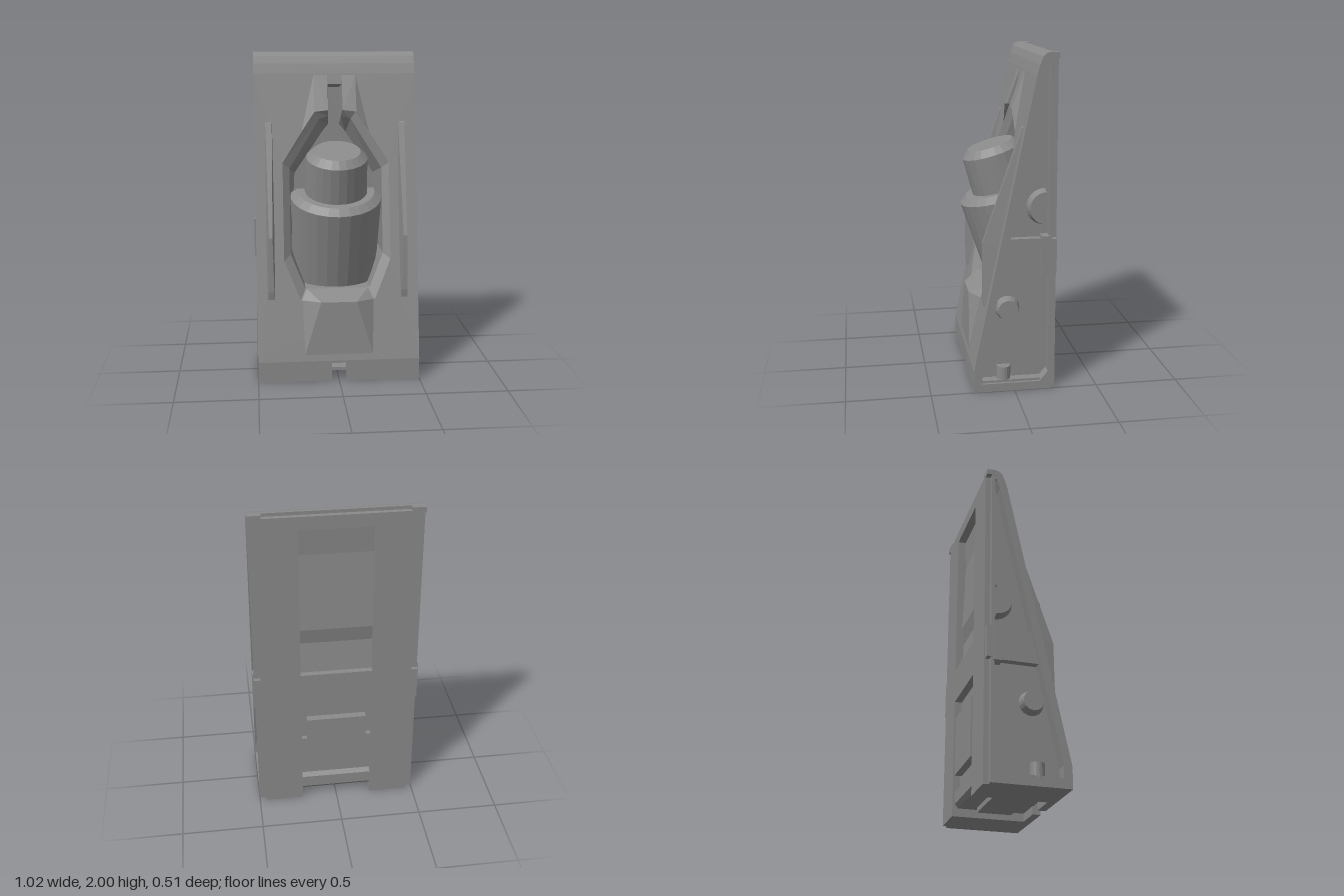
import * as THREE from 'three';
import { ConvexGeometry } from 'three/addons/geometries/ConvexGeometry.js';

const material = new THREE.MeshStandardMaterial({
  color: 0x8a8a8a, flatShading: true, side: THREE.DoubleSide,
});

// depth of the sloping front face at height y
const faceZ = (y) => 0.245 - 0.21 * (y - 0.13);

function add(parent, name, geometry) {
  const mesh = new THREE.Mesh(geometry, material);
  mesh.name = name;
  parent.add(mesh);
  return mesh;
}

// box given by its limits on each axis
function box(x0, x1, y0, y1, z0, z1) {
  return new THREE.BoxGeometry(x1 - x0, y1 - y0, z1 - z0)
    .translate((x0 + x1) / 2, (y0 + y1) / 2, (z0 + z1) / 2);
}

const toShape = (pts) => new THREE.Shape(pts.map(([x, y]) => new THREE.Vector2(x, y)));
const rect = (x0, x1, y0, y1) => [[x0, y0], [x1, y0], [x1, y1], [x0, y1]];

// front-facing plate from z0 to z1, with holes
function plate(pts, z0, z1, holes = []) {
  const shape = toShape(pts);
  shape.holes = holes.map(toShape);
  return new THREE.ExtrudeGeometry(shape, { depth: z1 - z0, bevelEnabled: false }).translate(0, 0, z0);
}

// side profile of [z, y] points, running from x0 to x1
function profile(pts, x0, x1) {
  return new THREE.ExtrudeGeometry(toShape(pts), { depth: x1 - x0, bevelEnabled: false })
    .rotateY(-Math.PI / 2).translate(x1, 0, 0);
}

// strip of faces joining closed rings of equal length
function loft(rings) {
  const n = rings[0].length, index = [];
  for (let r = 0; r < rings.length - 1; r++) {
    for (let i = 0; i < n; i++) {
      const a = r * n + i, b = r * n + (i + 1) % n;
      index.push(a, b, a + n, b, b + n, a + n);
    }
  }
  const g = new THREE.BufferGeometry();
  g.setAttribute('position', new THREE.Float32BufferAttribute(rings.flat(2), 3));
  g.setIndex(index);
  g.computeVertexNormals();
  return g;
}

const mirrored = (half) => [...half, ...half.map(([x, y]) => [-x, y]).reverse()];
const hull = (pts) => new ConvexGeometry(pts.map((p) => new THREE.Vector3(...p)));
const turned = (pts, start, length, segments) =>
  new THREE.LatheGeometry(pts.map(([r, y]) => new THREE.Vector2(r, y)), segments, start, length);

export function createModel() {
  const model = new THREE.Group();
  model.name = 'wedgeHousing';

  // outlines of the front opening, with its slot on top: rim, lip and floor
  const outer = mirrored([[0.23, 0.5], [0.33, 0.74], [0.33, 1.33], [0.13, 1.64], [0.045, 1.65], [0.045, 1.805]]);
  const inner = mirrored([[0.2, 0.56], [0.287, 0.77], [0.287, 1.29], [0.1, 1.59], [0.04, 1.61], [0.04, 1.795]]);
  const floor = mirrored([[0.2, 0.57], [0.28, 0.78], [0.25, 1.24], [0.075, 1.5], [0.035, 1.55], [0.035, 1.78]]);

  // sloping front panel, sheared from a flat plate
  const panel = plate(rect(-0.5, 0.5, 0.13, 1.87), -0.05, 0, [outer]);
  const pos = panel.attributes.position;
  for (let i = 0; i < pos.count; i++) pos.setZ(i, pos.getZ(i) + faceZ(pos.getY(i)));
  panel.computeVertexNormals();
  add(model, 'frontPanel', panel);

  // bevelled rim, leaning walls and floor of the opening
  add(model, 'openingWalls', loft([
    outer.map(([x, y]) => [x, y, faceZ(y)]),
    inner.map(([x, y]) => [x, y, faceZ(y) - 0.035]),
    floor.map(([x, y]) => [x, y, -0.18]),
  ]));
  add(model, 'openingFloor', new THREE.ShapeGeometry(toShape(floor)).translate(0, 0, -0.18));

  // rounded top edge and notched bottom lip
  add(model, 'topCap', profile([
    [-0.12, 1.87], [-0.137, 1.93], [-0.155, 1.975], [-0.175, 1.995], [-0.2, 2],
    [-0.22, 2], [-0.22, 1.95], [-0.19, 1.93], [-0.17, 1.87],
  ], -0.5, 0.5));
  add(model, 'bottomLip', plate([
    [-0.5, 0], [-0.045, 0], [-0.045, 0.115], [0.045, 0.115], [0.045, 0],
    [0.5, 0], [0.5, 0.13], [-0.5, 0.13],
  ], 0.195, 0.245));

  // ramp below the opening, falling into its lower rim
  add(model, 'lowerRamp', hull([1, -1].flatMap((s) => [
    [s * 0.21, 0.17, 0.238], [s * 0.11, 0.5, 0.225], [s * 0.22, 0.5, faceZ(0.5)],
    [s * 0.19, 0.56, 0.12], [s * 0.22, 0.5, 0.13], [s * 0.21, 0.17, 0.2],
  ])));

  // tilted stepped cylinder in the opening
  const plug = new THREE.Group();
  plug.name = 'tiltedCylinder';
  plug.position.set(0, 1.123, -0.016);
  plug.rotation.x = 0.3;
  model.add(plug);
  add(plug, 'cylinderBody', turned(
    [[0, -0.55], [0.27, -0.55], [0.285, 0], [0.24, 0.035], [0, 0.035]], -1.7, 3.4, 14));
  add(plug, 'cylinderTop', turned(
    [[0.195, 0.03], [0.188, 0.263], [0.145, 0.305], [0, 0.305]], 0, Math.PI * 2, 24));

  // back plate and wider flange, with an upper window and a lower bay open to the base
  const upperWindow = [rect(-0.22, 0.22, 0.945, 1.9)];
  const backOutline = (w, top) => [
    [-w, 0], [-0.22, 0], [-0.22, 0.73], [0.22, 0.73], [0.22, 0], [w, 0], [w, top], [-w, top],
  ];
  add(model, 'backPlate', plate(backOutline(0.46, 1.98), -0.25, -0.22, upperWindow));
  add(model, 'backFlange', plate(backOutline(0.5, 1.96), -0.22, -0.2, upperWindow));
  add(model, 'upperWindowFloor', profile([
    [-0.2, 1.92], [-0.19, 1.72], [-0.215, 1.24], [-0.195, 1.14], [-0.215, 0.93], [-0.185, 0.93], [-0.185, 1.92],
  ], -0.24, 0.24));
  add(model, 'lowerBayFloor', box(-0.24, 0.24, 0.05, 0.75, -0.205, -0.19));
  add(model, 'lowerBayPad', box(-0.185, 0.185, 0.24, 0.61, -0.25, -0.2));
  add(model, 'lowerBaySill', profile([
    [-0.2, 0.05], [-0.215, 0.05], [-0.235, 0.075], [-0.235, 0.15], [-0.2, 0.17],
  ], -0.22, 0.22));

  // channel under the base, with a raised pad
  add(model, 'baseChannel', box(-0.24, 0.24, 0.05, 0.07, -0.21, 0.2));
  add(model, 'basePad', box(-0.17, 0.17, 0.02, 0.05, -0.11, 0.1));

  // everything that repeats on the left and right
  for (const s of [1, -1]) {
    const side = new THREE.Group();
    side.name = s > 0 ? 'leftSide' : 'rightSide';
    side.scale.x = s;
    model.add(side);

    add(side, 'sideWall', profile([
      [faceZ(0.13) - 0.03, 0.05], [-0.2, 0.05], [-0.2, 1.965], [-0.17, 1.965], [faceZ(1.9) - 0.03, 1.9],
    ], 0.41, 0.43));
    add(side, 'foot', box(0.22, 0.5, 0, 0.05, -0.22, 0.2));
    add(side, 'sill', box(0.42, 0.485, 0.05, 0.065, -0.2, 0.2));
    add(side, 'footCorner', profile([[-0.2, 0.05], [-0.2, 0.11], [-0.15, 0.05]], 0.42, 0.5));
    add(side, 'topEar', box(0.42, 0.5, 1.965, 2, -0.25, -0.2));
    add(side, 'bayTab', box(0.18, 0.22, 0.38, 0.46, -0.235, -0.2));

    // thin fin on the front panel, its crest narrowest in the middle
    const pair = (w, y, z) => [[0.412 - w, y, z], [0.412 + w, y, z]];
    add(side, 'frontFin', hull([
      ...pair(0.02, 0.51, 0.172), ...pair(0.018, 0.56, 0.18), ...pair(0.011, 0.9, 0.18), ...pair(0.02, 1.57, -0.05),
      ...pair(0.024, 0.5, 0.15), ...pair(0.027, 0.9, 0.07), ...pair(0.024, 1.59, -0.08),
    ]));

    // half of the hood above the opening: flat crown and falling flank
    add(side, 'hoodCrown', hull([
      [0.045, 1.65, -0.04], [0.13, 1.64, -0.04], [0.045, 1.86, faceZ(1.86)], [0.13, 1.86, faceZ(1.86)],
      [0.045, 1.65, -0.1], [0.13, 1.64, -0.1], [0.045, 1.86, -0.14], [0.13, 1.86, -0.14],
    ]));
    add(side, 'hoodFlank', hull([
      [0.13, 1.64, -0.04], [0.13, 1.86, faceZ(1.86)], [0.21, 1.516, faceZ(1.516)],
      [0.13, 1.64, -0.1], [0.13, 1.86, -0.14], [0.21, 1.516, -0.07],
    ]));

    // side fittings: cross block, clip, round studs and post
    add(side, 'crossBlock', profile([
      [faceZ(0.73) - 0.04, 0.73], [-0.2, 0.73], [-0.2, 0.93], [faceZ(0.93) - 0.04, 0.93],
    ], 0.42, 0.475));
    add(side, 'flangeBlock', box(0.44, 0.502, 0.73, 0.93, -0.245, -0.2));
    add(side, 'sideClip', box(0.44, 0.51, 0.71, 0.95, -0.21, -0.155));
    add(side, 'roundStud', new THREE.CylinderGeometry(0.06, 0.075, 0.06, 20)
      .rotateZ(-Math.PI / 2).translate(0.455, 0.5, 0.035));
    add(side, 'halfStud', new THREE.CylinderGeometry(0.095, 0.11, 0.06, 16, 1, false, -Math.PI / 2, Math.PI)
      .rotateZ(-Math.PI / 2).translate(0.455, 1.11, -0.185));
    add(side, 'footPost', new THREE.CylinderGeometry(0.042, 0.042, 0.1, 16).translate(0.445, 0.095, 0.06));
  }
  return model;
}
